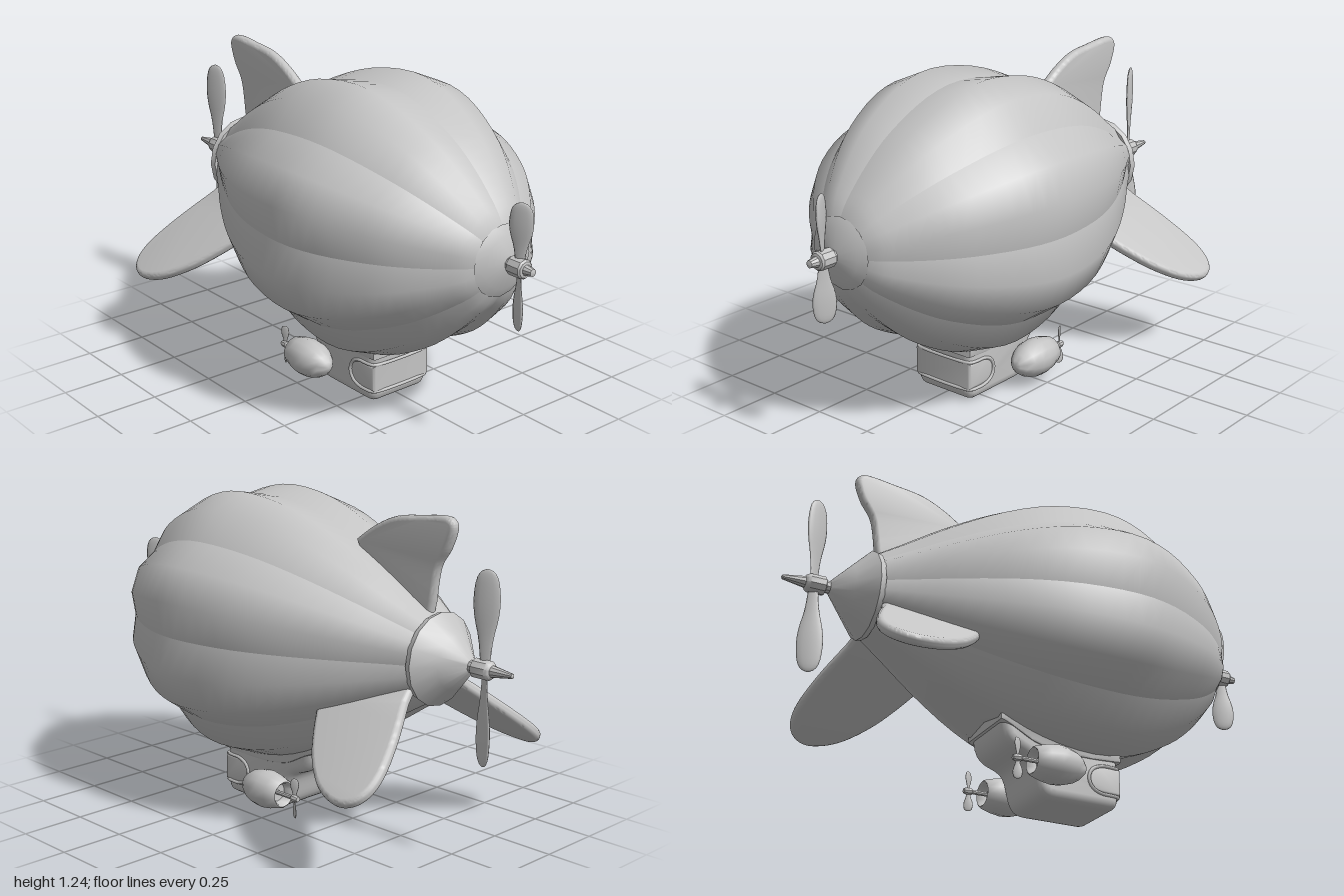
import * as THREE from 'three';
import { toCreasedNormals } from 'three/addons/utils/BufferGeometryUtils.js';

const AXIS_Y = 0.72;

export function createModel() {
  const model = new THREE.Group();
  model.name = 'airship';
  const grey = new THREE.MeshStandardMaterial({ color: 0xc4c4c4 });
  grey.name = 'pale grey';

  const add = (parent, name, geometry) => {
    const mesh = new THREE.Mesh(geometry, grey);
    mesh.name = name;
    parent.add(mesh);
    return mesh;
  };
  const group = (parent, name, x, y, z) => {
    const g = new THREE.Group();
    g.name = name;
    g.position.set(x, y, z);
    parent.add(g);
    return g;
  };
  const vecs = (pts) => pts.map(([a, b]) => new THREE.Vector2(a, b));

  // Turned part along z: points are [radius, z], listed with z rising
  const turned = (pts, sides = 12, crease = 0.6) =>
    toCreasedNormals(new THREE.LatheGeometry(vecs(pts), sides).rotateX(Math.PI / 2), crease);

  // Side outline in (z, y), extruded to a full width across x with rounded edges
  const slab = (shape, width, bevel, segments = 3) => {
    const geo = new THREE.ExtrudeGeometry(shape, {
      depth: width - 2 * bevel, bevelThickness: bevel, bevelSize: bevel,
      bevelOffset: -bevel, bevelSegments: segments, curveSegments: 10,
    });
    geo.translate(0, 0, -(width - 2 * bevel) / 2).rotateY(-Math.PI / 2);
    return toCreasedNormals(geo, 0.7);
  };

  // Envelope: eight swollen lobes meeting in sharp seams
  const hullProfile = new THREE.SplineCurve(vecs([
    [0.86, 0.09], [0.84, 0.145], [0.8, 0.21], [0.7, 0.32], [0.58, 0.415], [0.4, 0.505], [0.22, 0.538],
    [0, 0.51], [-0.2, 0.437], [-0.4, 0.328], [-0.56, 0.225], [-0.68, 0.15],
  ]));
  const rings = hullProfile.getPoints(33);
  const lobe = () => {
    const pos = [], index = [];
    rings.forEach(({ x: z, y: r }) => {
      for (let k = 0; k <= 3; k++) {
        const a = (k / 3) * Math.PI / 4;
        const s = k % 3 === 0 ? r * 0.918 : r;
        pos.push(s * Math.sin(a), s * Math.cos(a), z);
      }
    });
    for (let i = 0; i < rings.length - 1; i++) {
      for (let k = 0; k < 3; k++) {
        const a = i * 4 + k, b = a + 1, c = a + 4, d = c + 1;
        index.push(a, b, c, b, d, c);
      }
    }
    const geo = new THREE.BufferGeometry();
    geo.setAttribute('position', new THREE.Float32BufferAttribute(pos, 3));
    geo.setIndex(index);
    geo.computeVertexNormals();
    return geo;
  };
  const envelope = group(model, 'envelope', 0, AXIS_Y, 0);
  const lobeGeo = lobe();
  for (let i = 0; i < 8; i++) add(envelope, 'envelopeLobe', lobeGeo).rotation.z = i * Math.PI / 4;

  // Nose and tail caps
  add(envelope, 'noseCap', turned([[0, 0.83], [0.125, 0.84], [0.134, 0.848], [0.10, 0.868], [0.03, 0.886], [0, 0.89]], 16));
  add(envelope, 'tailCap', turned([[0, -0.82], [0.025, -0.815], [0.1, -0.745], [0.172, -0.677], [0.166, -0.655], [0, -0.65]], 16));

  // Propeller: two thin pitched blades, placed at their hub centre
  const propeller = (parent, name, z, length, chord, pitch, root) => {
    const prop = group(parent, name, 0, 0, z);
    const w = chord / 2;
    const outline = new THREE.SplineCurve(vecs([
      [w * 0.35, root], [w * 0.55, length * 0.3], [w * 0.9, length * 0.52], [w, length * 0.7],
      [w * 0.85, length * 0.88], [w * 0.5, length * 0.97], [0, length],
    ])).getPoints(14);
    outline.forEach((p) => { p.x = Math.max(p.x, 0); });
    const blade = new THREE.LatheGeometry(outline, 12).scale(0.22, 1, 1).rotateY(pitch);
    for (const turn of [0, Math.PI]) add(prop, 'blade', blade).rotation.z = turn;
    return prop;
  };
  propeller(envelope, 'nosePropeller', 0.932, 0.235, 0.088, 0.45, 0.01);
  add(envelope, 'noseHub', turned([[0, 0.87], [0.026, 0.87], [0.026, 0.895], [0.036, 0.9], [0.036, 0.955], [0.03, 0.962], [0.02, 0.964], [0.014, 0.995], [0, 1]], 10));
  propeller(envelope, 'tailPropeller', -0.875, 0.355, 0.096, 0.4, 0.01);
  add(envelope, 'tailHub', turned([[0, -1], [0.009, -0.995], [0.022, -0.91], [0.03, -0.905], [0.036, -0.895], [0.036, -0.835], [0.024, -0.83], [0.024, -0.79], [0, -0.79]], 10));

  // Fins: outlines in (z, distance from the hull axis)
  const fin = (start, curve, inner) => {
    const shape = new THREE.Shape();
    shape.moveTo(...start);
    shape.splineThru(vecs(curve));
    inner.forEach((p) => shape.lineTo(...p));
    return slab(shape, 0.042, 0.018);
  };
  add(envelope, 'topFin', fin([-0.27, 0.385],
    [[-0.36, 0.445], [-0.46, 0.488], [-0.58, 0.505], [-0.68, 0.515], [-0.722, 0.505], [-0.735, 0.47], [-0.71, 0.4], [-0.665, 0.325], [-0.645, 0.2]],
    [[-0.62, 0.1], [-0.35, 0.2]]));
  const lowerFin = fin([-0.31, 0.31],
    [[-0.38, 0.43], [-0.46, 0.54], [-0.56, 0.63], [-0.66, 0.668], [-0.73, 0.655], [-0.772, 0.6], [-0.775, 0.51], [-0.735, 0.37], [-0.67, 0.21]],
    [[-0.64, 0.1], [-0.35, 0.2]]);
  for (const side of [1, -1]) {
    add(envelope, side > 0 ? 'leftFin' : 'rightFin', lowerFin).rotation.z = -side * THREE.MathUtils.degToRad(128);
  }

  // Gondola cabin with a belly that sweeps up to the rear
  const gondola = group(model, 'gondola', 0, 0, 0);
  const cabin = new THREE.Shape();
  cabin.moveTo(0.332, 0.3);
  cabin.lineTo(0.332, 0.045);
  cabin.quadraticCurveTo(0.33, 0, 0.285, 0);
  cabin.lineTo(0.06, 0);
  cabin.bezierCurveTo(-0.02, 0, -0.01, 0.06, -0.03, 0.12);
  cabin.bezierCurveTo(-0.05, 0.2, -0.15, 0.14, -0.162, 0.27);
  cabin.lineTo(-0.162, 0.36);
  cabin.lineTo(0.2, 0.36);
  add(gondola, 'cabin', slab(cabin, 0.276, 0.035, 4));

  // Trim joining the cabin to the envelope
  const trim = new THREE.Shape();
  trim.moveTo(0.338, 0.25);
  trim.lineTo(0.338, 0.188);
  trim.bezierCurveTo(0.2, 0.175, 0.05, 0.178, -0.03, 0.205);
  trim.bezierCurveTo(-0.08, 0.225, -0.12, 0.258, -0.172, 0.272);
  trim.lineTo(-0.172, 0.34);
  trim.lineTo(0.2, 0.3);
  add(gondola, 'cabinTrim', slab(trim, 0.286, 0.008, 2));

  // Windscreen wrapping around the front, with a raised frame
  const screen = new THREE.Shape();
  screen.moveTo(0.336, 0.052);
  screen.lineTo(0.336, 0.16);
  screen.lineTo(0.25, 0.16);
  screen.bezierCurveTo(0.18, 0.16, 0.18, 0.052, 0.25, 0.052);
  add(gondola, 'windscreen', slab(screen, 0.28, 0.012, 3));
  const half = [
    [0.1, 0.162, 0.334], [0.132, 0.162, 0.325], [0.14, 0.162, 0.29], [0.14, 0.16, 0.25], [0.14, 0.142, 0.212],
    [0.14, 0.106, 0.197], [0.14, 0.07, 0.212], [0.14, 0.052, 0.25], [0.14, 0.05, 0.29], [0.132, 0.05, 0.325], [0.1, 0.05, 0.334],
  ];
  const loop = [...half, ...half.slice().reverse().map(([x, y, z]) => [-x, y, z])];
  const frame = new THREE.CatmullRomCurve3(loop.map((p) => new THREE.Vector3(...p)), true);
  add(gondola, 'windscreenFrame', new THREE.TubeGeometry(frame, 80, 0.007, 6, true));

  // Engine pods, hollow at the rear, each with a small pusher propeller
  const pod = turned([
    [0, -0.035], [0.036, -0.04], [0.044, -0.072], [0.05, -0.077], [0.056, -0.072], [0.068, -0.03],
    [0.075, 0.015], [0.072, 0.05], [0.06, 0.09], [0.042, 0.118], [0.022, 0.137], [0, 0.145],
  ], 14, 0.9);
  const shaft = turned([[0, -0.157], [0.01, -0.155], [0.014, -0.145], [0.014, -0.125], [0.009, -0.12], [0.009, -0.03], [0, -0.03]], 8);
  for (const side of [1, -1]) {
    const engine = group(model, side > 0 ? 'leftEngine' : 'rightEngine', side * 0.203, 0.104, 0);
    add(engine, 'enginePod', pod);
    add(engine, 'engineShaft', shaft);
    propeller(engine, 'enginePropeller', -0.136, 0.08, 0.036, 0.45, 0.004);
    const strut = add(engine, 'engineStrut', new THREE.CylinderGeometry(0.025, 0.025, 0.1, 10));
    strut.rotation.z = Math.PI / 2;
    strut.position.set(-side * 0.07, 0, 0.03);
  }
  return model;
}
